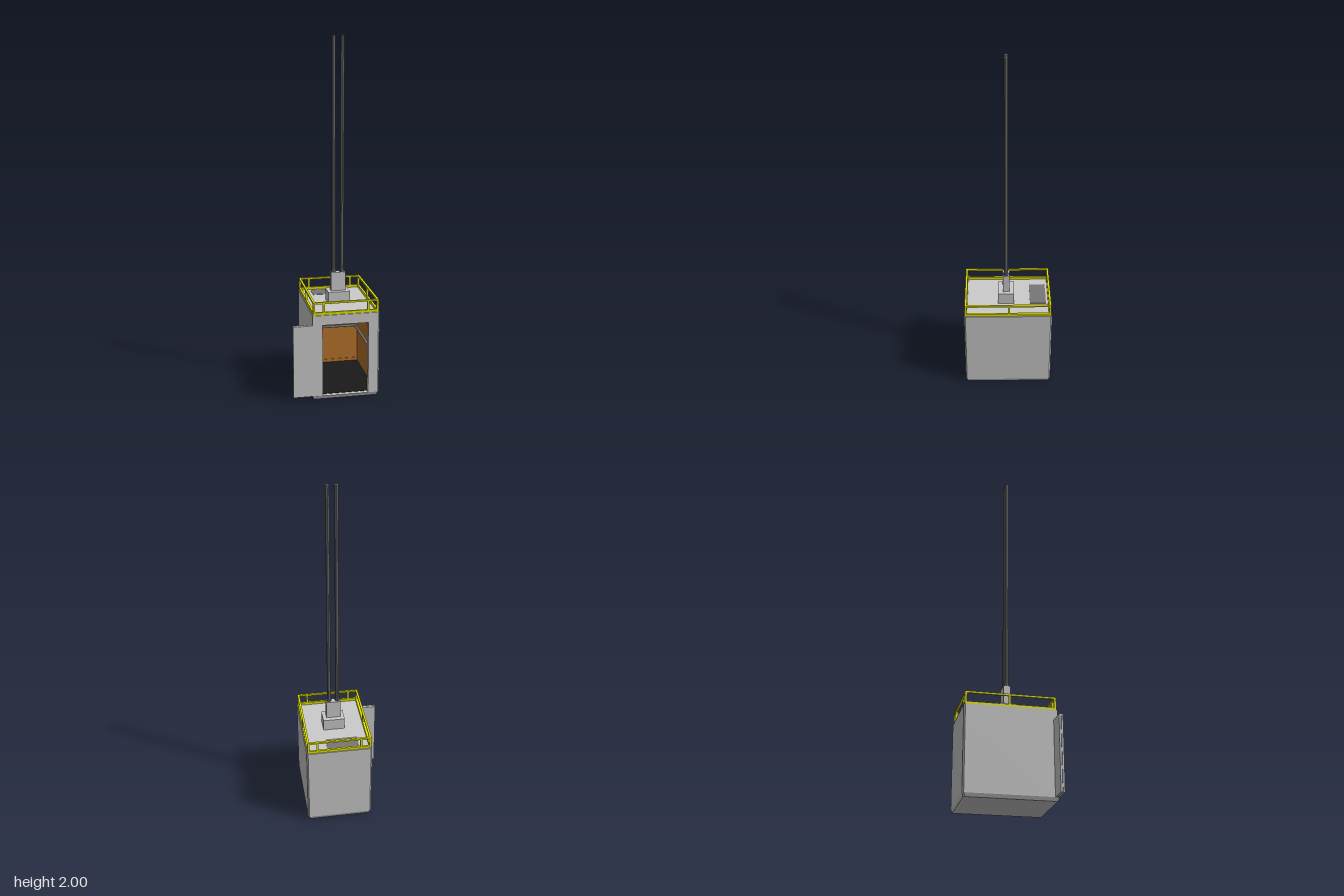
import * as THREE from 'three';

const mat = (color) => new THREE.MeshStandardMaterial({ color, flatShading: true });

export function createModel() {
  const root = new THREE.Group();
  const grey = mat(0xcccccc), dark = mat(0x777777), brown = mat(0xb9732a);
  const black = mat(0x1a1a1a), yellow = mat(0xe6e600);

  const add = (name, geometry, material, parent = root) => {
    const mesh = new THREE.Mesh(geometry, material);
    mesh.name = name;
    parent.add(mesh);
    return mesh;
  };
  // box given by its extents along each axis
  const box = (name, x0, x1, y0, y1, z0, z1, material, parent) => {
    const g = new THREE.BoxGeometry(x1 - x0, y1 - y0, z1 - z0);
    g.translate((x0 + x1) / 2, (y0 + y1) / 2, (z0 + z1) / 2);
    return add(name, g, material, parent);
  };
  const group = (name) => {
    const g = new THREE.Group();
    g.name = name;
    root.add(g);
    return g;
  };
  // upright extrusion of a floor plan given as [x, z] points
  const plan = (points, y0, y1) => {
    const shape = new THREE.Shape(points.map(([x, z]) => new THREE.Vector2(x, -z)));
    const g = new THREE.ExtrudeGeometry(shape, { depth: y1 - y0, bevelEnabled: false });
    return g.rotateX(-Math.PI / 2).translate(0, y0, 0);
  };

  // car outline: three corners cut, front left door corner square
  const L = -0.137, R = 0.243, B = -0.254, F = 0.252, c = 0.008;
  const outline = [[L, F], [R - c, F], [R, F - c], [R, B + c], [R - c, B], [L + c, B], [L, B + c]];

  // base with its lower edge sloping inwards
  const base = plan(outline, 0, 0.02);
  const p = base.attributes.position;
  for (let i = 0; i < p.count; i++) {
    if (p.getY(i) < 0.01) {
      p.setX(i, 0.053 + (p.getX(i) - 0.053) * 0.96);
      p.setZ(i, p.getZ(i) * 0.97);
    }
  }
  base.computeVertexNormals();
  add('carBase', base, grey);

  // side and back walls with the front jamb, open at the doorway
  const t = 0.01;
  add('carWalls', plan([
    [0.18, F], [R - c, F], [R, F - c], [R, B + c], [R - c, B], [L + c, B], [L, B + c], [L, 0.229],
    [L + t, 0.229], [L + t, B + t], [R - t, B + t], [R - t, 0.229], [0.18, 0.229],
  ], 0.02, 0.435), grey);
  add('carRoof', plan(outline, 0.435, 0.492), grey);

  // wooden lining, floor and skirting
  const inside = group('interior');
  const wl = -0.12, wr = 0.226, wb = -0.237;
  box('leftLining', L + t, wl, 0.02, 0.435, B + t, 0.228, brown, inside);
  box('rightLining', wr, R - t, 0.02, 0.435, B + t, 0.228, brown, inside);
  box('backLining', wl, wr, 0.02, 0.435, B + t, wb, brown, inside);
  box('leftReturn', wl, -0.08, 0.02, 0.435, 0.218, 0.228, brown, inside);
  box('rightReturn', 0.18, wr, 0.02, 0.435, 0.218, 0.228, brown, inside);
  box('backSkirting', wl, wr, 0.02, 0.04, wb, wb + 0.003, brown, inside);
  box('floor', wl, wr, 0.02, 0.022, wb, 0.228, black, inside);
  box('wallPanel', wl, wl + 0.005, 0.07, 0.42, -0.13, 0.07, grey, inside);

  // handrails held off the walls
  const rail = (name, x0, z0, x1, z1) => {
    const a = new THREE.Vector3(x0, 0.255, z0), b = new THREE.Vector3(x1, 0.255, z1);
    add(name, new THREE.TubeGeometry(new THREE.LineCurve3(a, b), 1, 0.007, 8), grey, inside);
  };
  rail('backHandrail', wl + 0.02, wb + 0.018, wr - 0.02, wb + 0.018);
  rail('leftHandrail', wl + 0.018, 0.19, wl + 0.018, 0.07);
  rail('rightHandrail', wr - 0.018, 0.19, wr - 0.018, wb + 0.02);

  // two sliding door leaves, both open to one side
  const doors = group('doors');
  box('innerDoor', -0.245, -0.08, 0.02, 0.435, 0.229, 0.239, grey, doors);
  box('outerDoor', -0.245, -0.08, 0.02, 0.435, 0.241, 0.251, grey, doors);

  // roof hatch
  box('roofHatch', -0.066, 0.119, 0.488, 0.494, -0.225, -0.131, dark);

  // safety railing: toe board, top rail and posts
  const railing = group('railing');
  const x0 = -0.133, x1 = 0.238, z0 = -0.249, z1 = 0.247, w = 0.012;
  for (const [name, y0, y1] of [['toeBoard', 0.492, 0.508], ['topRail', 0.556, 0.566]]) {
    box(name, x0, x1, y0, y1, z0, z0 + w, yellow, railing);
    box(name, x0, x1, y0, y1, z1 - w, z1, yellow, railing);
    box(name, x0, x0 + w, y0, y1, z0 + w, z1 - w, yellow, railing);
    box(name, x1 - w, x1, y0, y1, z0 + w, z1 - w, yellow, railing);
  }
  const post = (x, z) =>
    box('railPost', x - 0.006, x + 0.006, 0.508, 0.556, z - 0.006, z + 0.006, yellow, railing);
  for (const z of [z0 + 0.006, z1 - 0.006]) {
    for (const x of [x0 + 0.006, -0.073, 0.179, x1 - 0.006]) post(x, z);
  }
  for (const x of [x0 + 0.006, x1 - 0.006]) post(x, -0.007);

  // cable mount and the two hoist cables
  const hoist = group('hoist');
  box('mountBase', -0.01, 0.116, 0.492, 0.56, -0.038, 0.055, grey, hoist);
  box('mountBlock', 0.011, 0.094, 0.56, 0.668, -0.011, 0.027, grey, hoist);
  for (const x of [0.028, 0.076]) {
    add('cableCollar', new THREE.CylinderGeometry(0.014, 0.014, 0.016, 8), dark, hoist)
      .position.set(x, 0.676, 0.008);
    add('cable', new THREE.CylinderGeometry(0.011, 0.011, 1.332, 8), dark, hoist)
      .position.set(x, 1.334, 0.008);
  }

  return root;
}
